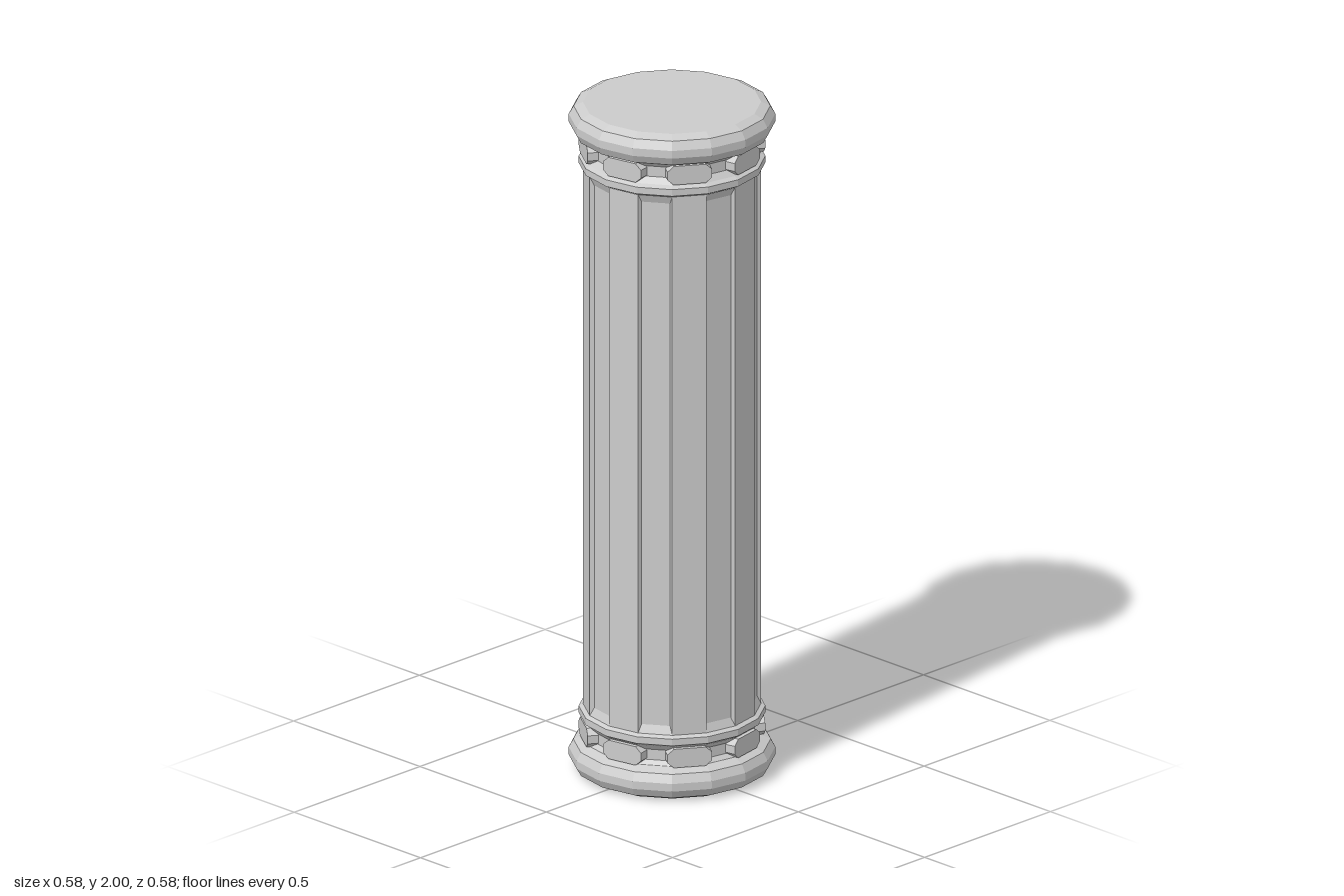
import * as THREE from 'three';

const SIDES = 16;
const STEP = (Math.PI * 2) / SIDES;
const material = new THREE.MeshStandardMaterial({ color: 0xcccccc, flatShading: true });

function part(name, geometry) {
  const mesh = new THREE.Mesh(geometry, material);
  mesh.name = name;
  return mesh;
}

// Profile given as [radius, y], listed from bottom to top
function turned(name, profile) {
  const points = profile.map(([r, y]) => new THREE.Vector2(r, y));
  return part(name, new THREE.LatheGeometry(points, SIDES));
}

// Sixteen-sided shaft; every second side holds a shallow sunken panel
function shaftGeometry(radius, y0, y1, inset, endInset, depth) {
  const positions = [];
  const quad = (a, b, c, d) => [a, b, c, a, c, d].forEach((p) => positions.push(...p.toArray()));
  for (let i = 0; i < SIDES; i++) {
    const a = i * STEP;
    const at = (angle, y) => new THREE.Vector3(Math.sin(angle) * radius, y, Math.cos(angle) * radius);
    const outer = [at(a, y0), at(a + STEP, y0), at(a + STEP, y1), at(a, y1)];
    if (i % 2 === 0) {
      quad(...outer);
      continue;
    }
    const along = outer[1].clone().sub(outer[0]).normalize().multiplyScalar(inset);
    const mid = a + STEP / 2;
    const inward = new THREE.Vector3(-Math.sin(mid), 0, -Math.cos(mid)).multiplyScalar(depth);
    const floor = outer.map((p, k) => {
      const q = p.clone().add(inward).addScaledVector(along, k === 0 || k === 3 ? 1 : -1);
      q.y += k < 2 ? endInset : -endInset;
      return q;
    });
    quad(...floor);
    for (let k = 0; k < 4; k++) {
      const n = (k + 1) % 4;
      quad(outer[k], outer[n], floor[n], floor[k]);
    }
  }
  const geometry = new THREE.BufferGeometry();
  geometry.setAttribute('position', new THREE.Float32BufferAttribute(positions, 3));
  geometry.computeVertexNormals();
  return geometry;
}

// Long octagonal block of the frieze
function blockGeometry() {
  const w = 0.064, t = 0.046, h = 0.028, s = 0.012;
  const outline = [[-t, -h], [t, -h], [w, -s], [w, s], [t, h], [-t, h], [-w, s], [-w, -s]];
  const shape = new THREE.Shape(outline.map(([x, y]) => new THREE.Vector2(x, y)));
  return new THREE.ExtrudeGeometry(shape, { depth: 0.034, bevelEnabled: false });
}

// Cap, frieze and ring, drawn at the top of the column
function createEnd(name) {
  const end = new THREE.Group();
  end.name = name;
  end.add(turned('cap', [
    [0, 1.905], [0.25, 1.905], [0.277, 1.917], [0.29, 1.941], [0.29, 1.964],
    [0.276, 1.988], [0.25, 2], [0, 2],
  ]));
  end.add(turned('friezeBand', [[0.25, 1.845], [0.235, 1.862], [0.235, 1.893], [0.25, 1.908]]));
  end.add(turned('ring', [[0.245, 1.808], [0.262, 1.817], [0.262, 1.837], [0.245, 1.847]]));

  const block = blockGeometry();
  for (let i = 0; i < SIDES; i += 2) {
    const angle = (i + 0.5) * STEP;
    const mesh = part('friezeBlock', block);
    mesh.position.set(Math.sin(angle) * 0.22, 1.877, Math.cos(angle) * 0.22);
    mesh.rotation.y = angle;
    end.add(mesh);
  }
  return end;
}

export function createModel() {
  const column = new THREE.Group();
  column.name = 'column';
  column.add(part('shaft', shaftGeometry(0.25, 0.19, 1.81, 0.008, 0.024, 0.01)));
  column.add(createEnd('capital'));

  // The base is the capital turned over, with its blocks kept in line
  const base = createEnd('base');
  base.rotation.set(Math.PI, STEP, 0);
  base.position.y = 2;
  column.add(base);
  return column;
}
